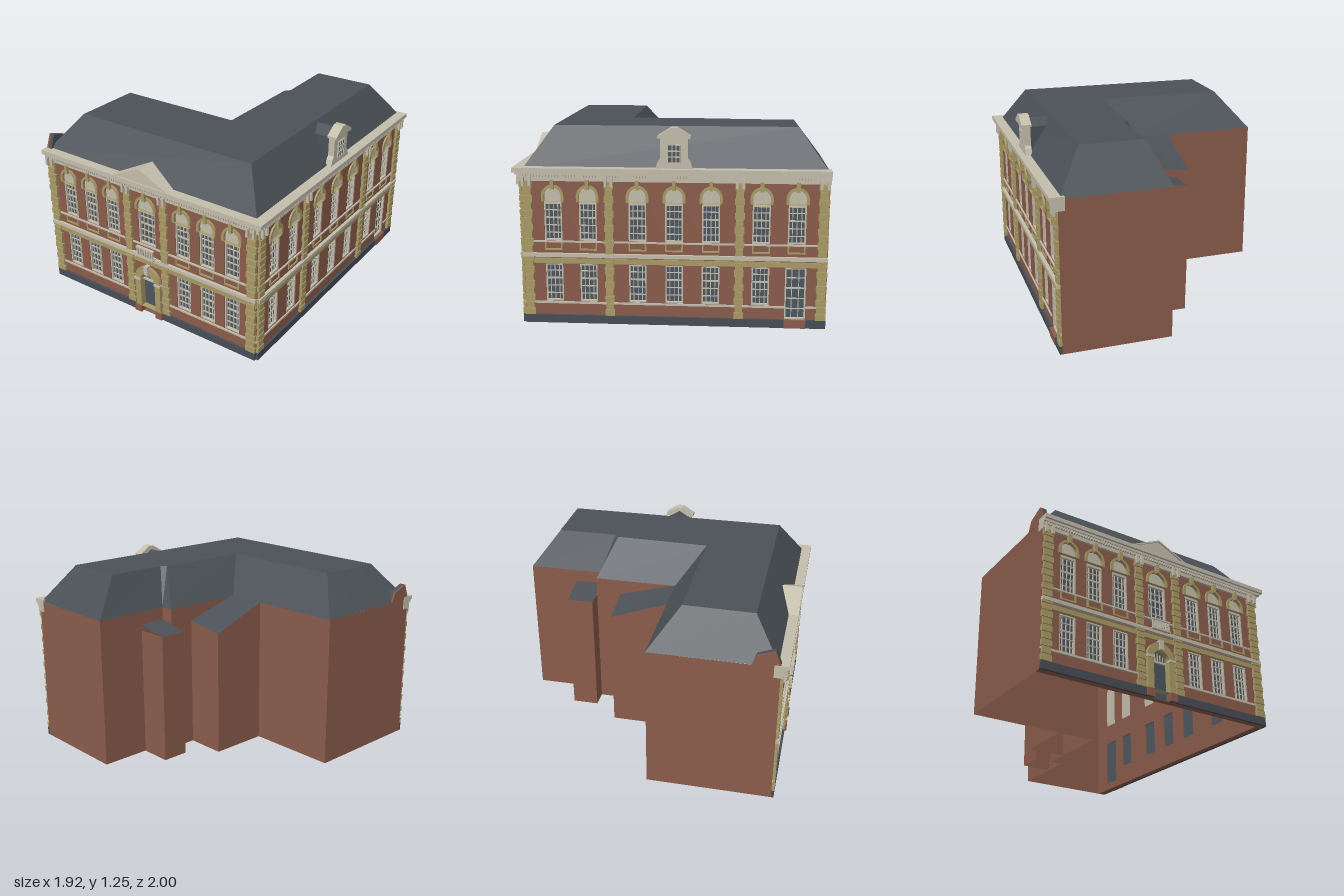
import * as THREE from 'three';
import { mergeGeometries } from 'three/addons/utils/BufferGeometryUtils.js';

const mat = (name, color, side = THREE.FrontSide) => {
  const m = new THREE.MeshStandardMaterial({ color, side });
  m.name = name;
  return m;
};

// Box given by its limits
function box(x0, x1, y0, y1, z0, z1) {
  return new THREE.BoxGeometry(x1 - x0, y1 - y0, z1 - z0)
    .translate((x0 + x1) / 2, (y0 + y1) / 2, (z0 + z1) / 2).toNonIndexed();
}
// Rectangle with an optional round head
function opening(cls, s, w, y0, y1, arched) {
  const p = new cls(), r = w / 2;
  p.moveTo(s - r, y0);
  p.lineTo(s + r, y0);
  p.lineTo(s + r, y1);
  if (arched) p.absarc(s, y1, r, 0, Math.PI, false);
  else p.lineTo(s - r, y1);
  p.closePath();
  return p;
}
function extrude(shape, z0, z1) {
  return new THREE.ExtrudeGeometry(shape, { depth: z1 - z0, bevelEnabled: false, curveSegments: 10 })
    .translate(0, 0, z0);
}
function poly(points) {
  return new THREE.Shape(points.map(([x, y]) => new THREE.Vector2(x, y)));
}
// Flat quads from groups of four corners
function quads(list) {
  const pos = [];
  for (const [a, b, c, d] of list) pos.push(...a, ...b, ...c, ...a, ...c, ...d);
  const g = new THREE.BufferGeometry();
  g.setAttribute('position', new THREE.Float32BufferAttribute(pos, 3));
  g.computeVertexNormals();
  return g;
}
// Upright walls along a path of [x, z]
function wallStrip(path, y0, y1) {
  return path.slice(1).map(([x, z], i) => {
    const [px, pz] = path[i];
    return [[px, y0, pz], [x, y0, z], [x, y1, z], [px, y1, pz]];
  });
}

export function createModel() {
  const M = {
    brick: mat('brick', 0x8a5c4b, THREE.DoubleSide),
    sandstone: mat('sandstone', 0xa99a66),
    pale: mat('pale stone', 0xc4bdac),
    slate: mat('slate', 0x4b5157, THREE.DoubleSide),
    glass: mat('glass', 0x4c5660),
    plinth: mat('plinth grey', 0x484d56),
  };
  const model = new THREE.Group();
  model.name = 'cornerBuilding';
  model.rotation.y = -0.102;
  const add = (parent, name, material, geos) => {
    const m = new THREE.Mesh(Array.isArray(geos) ? mergeGeometries(geos) : geos, material);
    m.name = name;
    parent.add(m);
    return m;
  };

  // One decorated street front, centred on x = 0 with its face on z = 0
  function facade(name, o) {
    const g = new THREE.Group();
    g.name = name;
    model.add(g);
    const h = o.half;
    const wall = poly([[-h, 0], [h, 0], [h, 0.94], [-h, 0.94]]);
    const glass = [], frames = [], arches = [], keys = [], sills = [], backs = [];

    // Sash window: glass, outer frame and glazing bars
    const sash = (s, w, y0, y1, cols, rows) => {
      const r = w / 2, f = 0.009;
      glass.push(box(s - r, s + r, y0, y1, -0.03, -0.022));
      frames.push(box(s - r, s - r + f, y0, y1, -0.022, -0.004), box(s + r - f, s + r, y0, y1, -0.022, -0.004),
        box(s - r, s + r, y0, y0 + f, -0.022, -0.004), box(s - r, s + r, y1 - f, y1, -0.022, -0.004));
      for (let i = 1; i < cols; i++) {
        const x = s - r + (w * i) / cols;
        frames.push(box(x - 0.0025, x + 0.0025, y0, y1, -0.022, -0.014));
      }
      for (let i = 1; i < rows; i++) {
        const y = y0 + ((y1 - y0) * i) / rows, t = i === Math.round(rows / 2) ? 0.005 : 0.0025;
        frames.push(box(s - r, s + r, y - t, y + t, -0.022, -0.014));
      }
    };
    for (const s of o.lower) {
      wall.holes.push(opening(THREE.Path, s, 0.11, 0.14, 0.385));
      sash(s, 0.11, 0.14, 0.385, 4, 5);
    }
    for (const s of o.upper) {
      const w = s === 0 && o.entrance ? 0.135 : 0.11, spring = 0.875 - w / 2;
      wall.holes.push(opening(THREE.Path, s, w, 0.535, spring, true));
      sash(s, w, 0.535, 0.775, 4, 5);
      frames.push(extrude(opening(THREE.Shape, s, w, 0.77, spring, true), -0.024, -0.008));
      backs.push(extrude(opening(THREE.Shape, s, w, 0.535, spring, true), -0.04, -0.032));
      const ring = opening(THREE.Shape, s, w + 0.03, 0.785, spring, true);
      ring.holes.push(opening(THREE.Path, s, w - 0.004, 0.785, spring, true));
      arches.push(extrude(ring, -0.01, 0.012));
      keys.push(box(s - 0.011, s + 0.011, 0.865, 0.925, 0, 0.026));
      if (w < 0.12) {
        sills.push(box(s - 0.055, s + 0.055, 0.475, 0.485, 0, 0.008));
        for (const e of [-1, 1]) sills.push(box(s + e * 0.05 - 0.005, s + e * 0.05 + 0.005, 0.48, 0.525, 0, 0.008));
      }
    }

    // Ground floor door, either an arched portal or a glazed garden door
    const d = o.door;
    if (o.entrance) {
      wall.holes.push(opening(THREE.Path, 0, 0.12, 0.002, 0.26, true));
      add(g, 'frontDoor', M.glass, extrude(opening(THREE.Shape, 0, 0.12, 0, 0.26, true), -0.03, -0.022));
      frames.push(box(-0.06, 0.06, 0.245, 0.258, -0.022, -0.01));
      for (let i = -2; i <= 2; i++) frames.push(box(i * 0.02 - 0.0025, i * 0.02 + 0.0025, 0.25, 0.315 - Math.abs(i) * 0.01, -0.022, -0.016));
      const portal = opening(THREE.Shape, 0, 0.205, 0.05, 0.27, true);
      portal.holes.push(opening(THREE.Path, 0, 0.118, 0.051, 0.26, true));
      add(g, 'doorSurround', M.sandstone, extrude(portal, -0.02, 0.022));
      add(g, 'doorKeystoneAndImposts', M.pale, [box(-0.015, 0.015, 0.32, 0.385, 0, 0.035),
        box(-0.108, -0.058, 0.255, 0.27, 0, 0.03), box(0.058, 0.108, 0.255, 0.27, 0, 0.03)]);
      add(g, 'doorBases', M.brick, [box(-0.112, -0.06, 0, 0.052, -0.02, 0.028), box(0.06, 0.112, 0, 0.052, -0.02, 0.028)]);
      // Small balcony above the portal
      const rail = [box(-0.07, 0.07, 0.45, 0.46, 0, 0.04), box(-0.07, 0.07, 0.515, 0.525, 0.02, 0.04)];
      for (let i = -3; i <= 3; i++) rail.push(box(i * 0.02 - 0.005, i * 0.02 + 0.005, 0.46, 0.515, 0.024, 0.036));
      add(g, 'balcony', M.pale, rail);
    } else {
      wall.holes.push(opening(THREE.Path, d, 0.13, 0.052, 0.385));
      sash(d, 0.13, 0.052, 0.385, 3, 5);
      add(g, 'doorStep', M.brick, box(d - 0.067, d + 0.067, 0, 0.052, 0, 0.02));
    }
    add(g, 'brickFront', M.brick, extrude(wall, -0.04, 0));
    add(g, 'windowGlass', M.glass, glass);
    add(g, 'windowFrames', M.pale, frames);
    add(g, 'windowBacks', M.pale, backs);
    add(g, 'windowArches', M.sandstone, arches);
    add(g, 'keystones', M.sandstone, keys);
    add(g, 'sillPanels', M.sandstone, sills);

    // Plinth and string courses, broken where the door stands
    const split = (y0, y1, out) => [box(-h, d - 0.065, y0, y1, 0, out), box(d + 0.065, h, y0, y1, 0, out)];
    add(g, 'plinth', M.plinth, split(0, 0.052, 0.016));
    add(g, 'stringCourses', M.pale, [...split(0.126, 0.139, 0.008),
      box(-h, h, 0.433, 0.456, 0, 0.022), box(-h, h, 0.525, 0.535, 0, 0.01)]);
    add(g, 'sandstoneBand', M.sandstone, box(-h, h, 0.39, 0.422, 0, 0.009));

    // Quoined pilasters of alternating blocks
    const blocks = [], caps = [];
    for (const [s, w] of o.quoins) {
      blocks.push(box(s - w / 2 + 0.006, s + w / 2 - 0.006, 0.052, 0.925, 0, 0.01));
      for (let i = 0; i < 19; i++) {
        const y = 0.054 + i * 0.0455, r = w / 2 - (i % 2 ? 0.006 : 0);
        blocks.push(box(s - r, s + r, y, y + 0.038, 0, 0.018));
      }
      for (const e of [-1, 1]) caps.push(box(s + e * w * 0.32 - 0.008, s + e * w * 0.32 + 0.008, 0.885, 0.945, 0, 0.034));
    }
    add(g, 'quoins', M.sandstone, blocks);
    add(g, 'cornerBrackets', M.pale, caps);

    // Stepped cornice with dentils; it turns the shared corner
    const layer = (y0, y1, out) => box(-h - (o.turn < 0 ? out : 0.006), h + (o.turn > 0 ? out : 0.006), y0, y1, -0.04, out);
    const cornice = [layer(0.915, 0.94, 0.016), layer(0.94, 0.958, 0.02), layer(0.957, 0.973, 0.036), layer(0.973, 1.0, 0.05)];
    for (let s = -h + 0.008; s < h; s += 0.018) cornice.push(box(s - 0.005, s + 0.005, 0.94, 0.957, 0.018, 0.032));
    add(g, 'cornice', M.pale, cornice);
    return g;
  }

  const front = facade('frontFacade', {
    half: 0.838, turn: 1, entrance: true, door: 0,
    lower: [-0.658, -0.472, -0.285, 0.285, 0.472, 0.658],
    upper: [-0.658, -0.472, -0.285, 0, 0.285, 0.472, 0.658],
    quoins: [[-0.803, 0.07], [-0.145, 0.06], [0.145, 0.06], [0.803, 0.07]],
  });
  front.position.set(-0.028, 0, 0.865);
  const right = facade('rightFacade', {
    half: 0.943, turn: -1, entrance: false, door: 0.752,
    lower: [-0.752, -0.535, -0.227, 0, 0.227, 0.535],
    upper: [-0.752, -0.535, -0.227, 0, 0.227, 0.535, 0.752],
    quoins: [[-0.91, 0.066], [-0.402, 0.06], [0.402, 0.06], [0.91, 0.066]],
  });
  right.position.set(0.81, 0, -0.078);
  right.rotation.y = Math.PI / 2;

  // Triangular pediment over the entrance bay
  add(front, 'pediment', M.pale, extrude(poly([[-0.22, 0.998], [0.22, 0.998], [0, 1.1]]), -0.09, 0.04));
  add(front, 'pedimentMoulding', M.pale, [-1, 1].map((e) =>
    extrude(poly([[e * 0.22, 0.998], [e * 0.195, 0.998], [0, 1.088], [0, 1.1]].slice()[e > 0 ? 'slice' : 'reverse']()), 0.04, 0.048)));

  // Gabled dormer on the right street front
  const dormer = new THREE.Group();
  dormer.name = 'dormer';
  right.add(dormer);
  add(dormer, 'dormerGable', M.pale, [
    extrude(poly([[-0.115, 0.998], [0.115, 0.998], [0.1, 1.04], [0.085, 1.06], [0.085, 1.185], [-0.085, 1.185], [-0.085, 1.06], [-0.1, 1.04]]), -0.03, 0.012),
    extrude(poly([[-0.1, 1.185], [0.1, 1.185], [0.1, 1.2], [0.02, 1.25], [-0.02, 1.25], [-0.1, 1.2]]), -0.035, 0.03)]);
  add(dormer, 'dormerRoof', M.slate, extrude(poly([[-0.075, 1.0], [0.075, 1.0], [0.075, 1.18], [0, 1.225], [-0.075, 1.18]]), -0.17, -0.03));
  add(dormer, 'dormerGlass', M.glass, box(-0.038, 0.038, 1.035, 1.145, 0.01, 0.015));
  const bars = [];
  for (const x of [-0.038, -0.013, 0.013, 0.038]) bars.push(box(x - 0.003, x + 0.003, 1.032, 1.148, 0.012, 0.02));
  for (const y of [1.035, 1.072, 1.108, 1.145]) bars.push(box(-0.038, 0.038, y - 0.003, y + 0.003, 0.012, 0.02));
  add(dormer, 'dormerBars', M.pale, bars);

  // Plain brick rear walls, open underneath
  add(model, 'rearWalls', M.brick, quads([
    ...wallStrip([[0.81, -1.021], [0.112, -1.021], [0.112, -0.517], [0.02, -0.517], [0.02, 0.045], [-0.866, 0.045], [-0.866, 0.865]], 0, 0.985)]));

  // Truncated hip roof on the L plan
  const base = [[-0.864, 0.86], [0.8, 0.86], [0.8, -1.018], [0.112, -1.021], [0.112, -0.517], [0.02, -0.517], [0.02, 0.045], [-0.866, 0.045]];
  const top = [[-0.677, 0.685], [0.64, 0.685], [0.635, -0.835], [0.227, -0.832], [0.23, -0.43], [0.2, -0.4], [0.187, 0.232], [-0.67, 0.232]];
  const topY = ([x]) => 1.232 + x * 0.008;
  add(model, 'roofSlopes', M.slate, quads(base.map((b, i) => {
    const j = (i + 1) % base.length, B = (p) => [p[0], 0.985, p[1]], T = (p) => [p[0], topY(p), p[1]];
    return [B(b), B(base[j]), T(top[j]), T(top[i])];
  })));
  const flat = new THREE.ShapeGeometry(poly(top.map(([x, z]) => [x, -z]))).rotateX(-Math.PI / 2);
  const fp = flat.attributes.position;
  for (let i = 0; i < fp.count; i++) fp.setY(i, topY([fp.getX(i)]));
  flat.computeVertexNormals();
  add(model, 'roofTop', M.slate, flat);

  // Two lower rear annexes
  add(model, 'largeAnnexWalls', M.brick, quads([
    [[0.02, 0, -0.345], [-0.247, 0, -0.345], [-0.247, 0.84, -0.345], [0.02, 0.88, -0.345]],
    [[-0.247, 0, -0.345], [-0.247, 0, 0.045], [-0.247, 0.985, 0.045], [-0.247, 0.84, -0.345]]]));
  add(model, 'largeAnnexRoof', M.slate, quads([
    [[-0.247, 0.84, -0.345], [-0.247, 0.985, 0.045], [0.02, 0.99, 0.045], [0.02, 0.88, -0.345]]]));
  add(model, 'smallAnnexWalls', M.brick, quads(
    wallStrip([[0.112, -0.695], [-0.102, -0.695], [-0.102, -0.517], [0.112, -0.517]], 0, 0.86)));
  add(model, 'smallAnnexRoof', M.slate, quads([
    [[-0.102, 0.86, -0.695], [-0.102, 0.86, -0.517], [0.112, 0.9, -0.517], [0.112, 0.9, -0.695]]]));

  // Little brick end parapet at the left corner
  const parapet = poly([[-0.865, 0.98], [-0.69, 0.98], [-0.72, 1.05], [-0.83, 1.09], [-0.865, 1.0]]);
  add(model, 'endParapet', M.brick, extrude(parapet, -0.012, 0).rotateY(Math.PI / 2).translate(-0.856, 0, 0));
  add(model, 'endParapetSlate', M.slate, extrude(parapet, 0, 0.03).rotateY(Math.PI / 2).translate(-0.856, 0, 0));
  return model;
}
